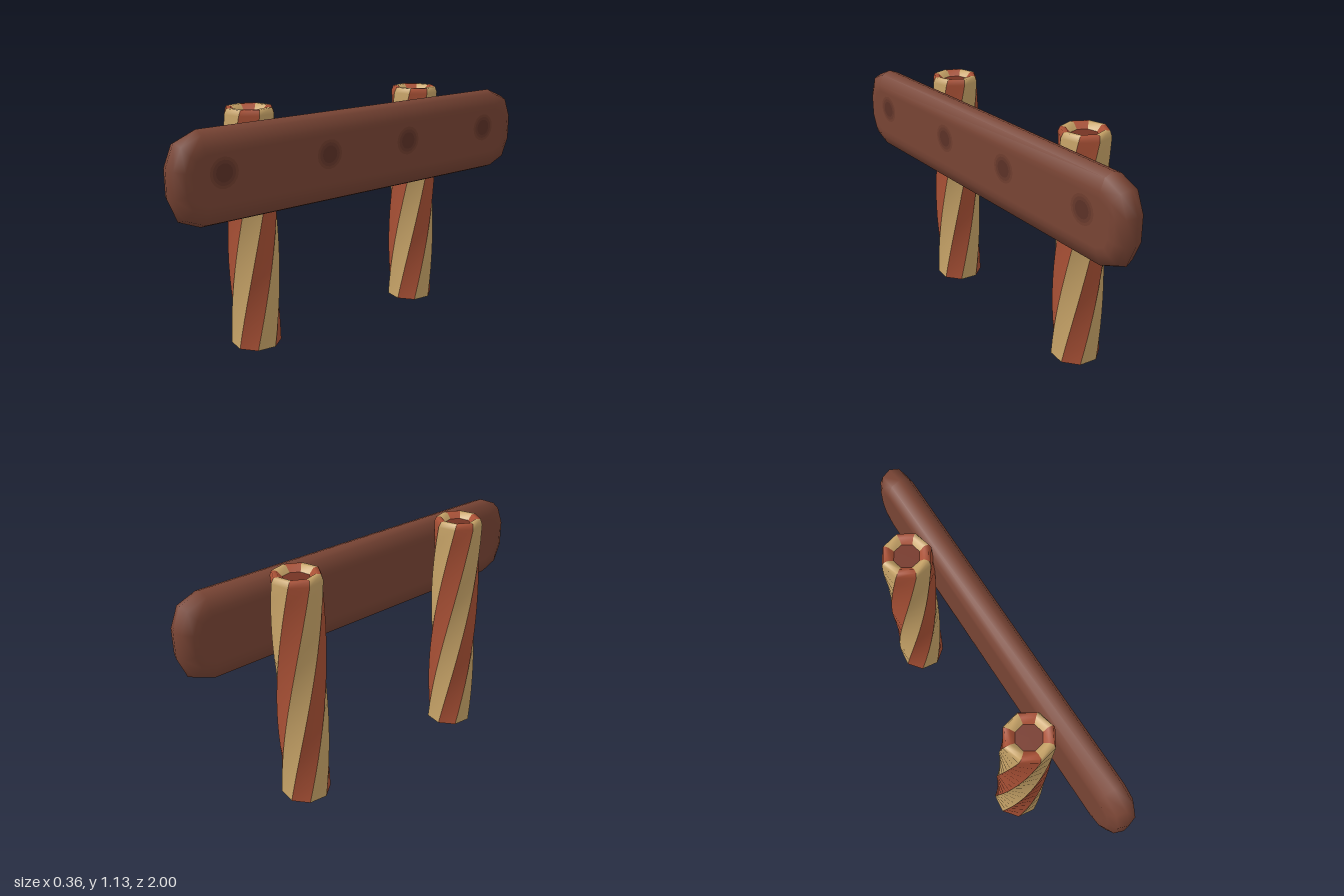
import * as THREE from 'three';

const SIDES = 8, HEIGHT = 1.13, RADIUS = 0.118;
const TWIST = THREE.MathUtils.degToRad(112), START = THREE.MathUtils.degToRad(-29);

const mat = (color, side = THREE.FrontSide) =>
  new THREE.MeshStandardMaterial({ color, side, roughness: 0.9 });

function geometry(pos, idx) {
  const g = new THREE.BufferGeometry();
  g.setAttribute('position', new THREE.Float32BufferAttribute(pos, 3));
  g.setIndex(idx);
  g.computeVertexNormals();
  return g;
}

// Post profile as [radius, height]: straight shaft, bevelled rim, sunken top
const profile = [];
for (let i = 0; i <= 14; i++) profile.push([RADIUS, (1.105 * i) / 14]);
profile.push([0.108, HEIGHT], [0.085, HEIGHT], [0.062, 1.105]);

const angleAt = (side, y) => START + (side * Math.PI * 2) / SIDES + (TWIST * y) / HEIGHT;

// Every second twisted strip of the octagonal post
function stripes(first) {
  const pos = [], idx = [];
  for (let s = first; s < SIDES; s += 2) {
    const base = pos.length / 3;
    profile.forEach(([r, y], i) => {
      for (const k of [s, s + 1]) {
        const a = angleAt(k, y);
        pos.push(r * Math.sin(a), y, r * Math.cos(a));
      }
      if (i > 0) {
        const p = base + (i - 1) * 2;
        idx.push(p, p + 1, p + 3, p, p + 3, p + 2);
      }
    });
  }
  return geometry(pos, idx);
}

// Outline of the board at a given inset: three points per rounded corner
function outline(inset, insetZ) {
  const hy = 0.2075 - inset, hz = 1 - insetZ, r = 0.145 - inset * 0.8;
  const pts = [];
  for (let q = 0; q < 4; q++) {
    const sy = q < 2 ? 1 : -1, sz = q === 0 || q === 3 ? 1 : -1;
    for (let j = 0; j <= 2; j++) {
      const a = (q + j / 2) * Math.PI / 2;
      pts.push([sy * (hy - r) + r * Math.sin(a), sz * (hz - r) + r * Math.cos(a)]);
    }
  }
  return pts;
}

// Pillow-edged board: outlines stacked along x, closed by flat faces
function boardGeometry() {
  const layers = [[-0.067, 0.1, 0.09], [-0.067, 0.07, 0.055], [-0.044, 0.018, 0.015], [0, 0, 0],
    [0.044, 0.018, 0.015], [0.067, 0.07, 0.055], [0.067, 0.1, 0.09]];
  const n = 12, pos = [], idx = [];
  layers.forEach(([x, inset, insetZ], l) => {
    for (const [y, z] of outline(inset, insetZ)) pos.push(x, y, z);
    if (l === 0) return;
    for (let i = 0; i < n; i++) {
      const a = (l - 1) * n + i, b = (l - 1) * n + (i + 1) % n;
      idx.push(a, a + n, b, b, a + n, b + n);
    }
  });
  const last = (layers.length - 1) * n;
  for (let i = 1; i < n - 1; i++) {
    idx.push(0, i, i + 1);
    idx.push(last, last + i + 1, last + i);
  }
  return geometry(pos, idx);
}

export function createModel() {
  const model = new THREE.Group();
  const add = (parent, name, geo, material) => {
    const mesh = new THREE.Mesh(geo, material);
    mesh.name = name;
    parent.add(mesh);
    return mesh;
  };

  // Two striped posts
  const red = mat(0xa85035, THREE.DoubleSide), cream = mat(0xc8a468, THREE.DoubleSide);
  const capMat = mat(0x743424, THREE.DoubleSide);
  const creamGeo = stripes(0), redGeo = stripes(1);
  const capGeo = new THREE.CircleGeometry(0.062, SIDES).rotateX(-Math.PI / 2)
    .rotateY(angleAt(0, 1.105) - Math.PI / 2);
  for (const [name, z] of [['frontPost', 0.495], ['backPost', -0.495]]) {
    const post = new THREE.Group();
    post.name = name;
    post.position.set(-0.061, 0, z);
    add(post, 'creamStripes', creamGeo, cream);
    add(post, 'redStripes', redGeo, red);
    add(post, 'postCap', capGeo, capMat).position.y = 1.105;
    model.add(post);
  }

  // Board fixed to the side of the posts
  const board = new THREE.Group();
  board.name = 'board';
  board.position.set(0.112, 0.8925, 0);
  add(board, 'plank', boardGeometry(), mat(0x784434));

  // Dark nail marks, fading outward in steps
  const marks = [[0.068, 0x703e2f], [0.055, 0x66382b], [0.04, 0x5c3127]]
    .map(([r, c]) => [new THREE.CircleGeometry(r, 16).rotateY(Math.PI / 2), mat(c)]);
  for (const z of [0.77, 0.23, -0.24, -0.76]) {
    marks.forEach(([geo, material], i) => {
      add(board, 'nailMark', geo, material).position.set(0.0675 + i * 0.0005, 0.027, z);
    });
  }
  model.add(board);
  return model;
}
